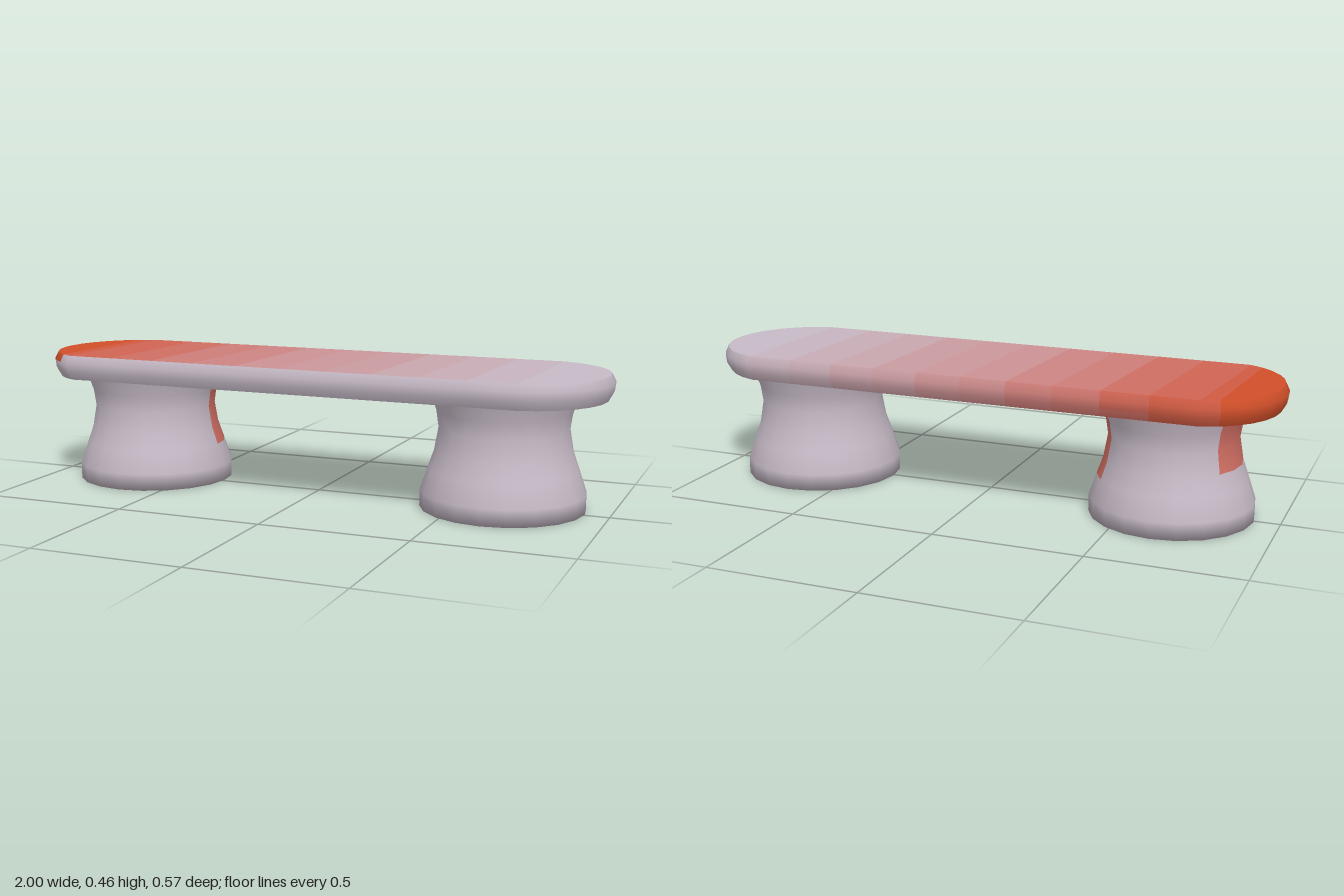
import * as THREE from 'three';

// Shades from pale lilac grey (0) to burnt orange (SHADES)
const SHADES = 16;
const shades = Array.from({ length: SHADES + 1 }, (_, i) =>
  new THREE.MeshStandardMaterial({
    color: new THREE.Color(0xc6bac6).lerp(new THREE.Color(0xd2502a), i / SHADES),
  }));
const tint = x => Math.round(SHADES * THREE.MathUtils.clamp((0.85 - x) / 1.75, 0, 1));

// Skin rows of [x, y, z] points; shade(column, row) picks each face's material
function skin(name, rows, closed, shade) {
  const n = rows[0].length, columns = closed ? n : n - 1;
  const index = [];
  const geometry = new THREE.BufferGeometry();
  for (let r = 0; r < rows.length - 1; r++) {
    for (let i = 0; i < columns; i++) {
      const j = (i + 1) % n;
      const a = r * n + i, b = r * n + j, c = b + n, d = a + n;
      geometry.addGroup(index.length, 6, shade(i, r));
      index.push(a, d, c, a, c, b);
    }
  }
  geometry.setAttribute('position', new THREE.Float32BufferAttribute(rows.flat(2), 3));
  geometry.setIndex(index);
  geometry.computeVertexNormals();
  const mesh = new THREE.Mesh(geometry, shades);
  mesh.name = name;
  return mesh;
}

// One long edge of the slab, from its -x tip to its +x tip
function slabEdge(side, startDeg, endDeg, radius, y) {
  const arc = 6, straight = 10, cx = 0.71;
  const at = (sign, deg) => {
    const a = THREE.MathUtils.degToRad(deg);
    return [sign * (cx + radius * Math.cos(a)), y, side * radius * Math.sin(a)];
  };
  const points = [];
  for (let k = 0; k <= arc; k++) points.push(at(-1, startDeg * k / arc));
  const from = at(-1, startDeg), to = at(1, endDeg);
  for (let k = 1; k < straight; k++) {
    points.push(from.map((v, i) => v + (to[i] - v) * k / straight));
  }
  for (let k = arc; k >= 0; k--) points.push(at(1, endDeg * k / arc));
  return points;
}

function createSlab() {
  const slab = new THREE.Group();
  slab.name = 'seat';
  const levels = [[0.27, 0.372], [0.286, 0.4], [0.29, 0.43], [0.277, 0.456]];
  const backs = levels.map(([r, y]) => slabEdge(-1, 75, 75, r, y));
  const fronts = levels.map(([r, y]) => slabEdge(1, 64, 80, r, y));
  const last = backs[0].length - 1;
  const top = levels.length - 1;

  // Rounded rim, tinted along the back and around the -x tip
  const rim = backs.map((b, l) => [...b, ...fronts[l].slice(1, last).reverse()]);
  slab.add(skin('seatRim', rim, true, (i, r) => {
    const x = rim[r][i][0];
    if (i < last) return tint(x);
    return r === top - 1 && x < -0.86 ? tint(x) : 0;
  }));

  // Flat faces
  slab.add(skin('seatTop', [backs[top], fronts[top]], false,
    i => tint((backs[top][i][0] + backs[top][i + 1][0]) / 2)));
  slab.add(skin('seatUnderside', [fronts[0], backs[0]], false, () => 0));
  return slab;
}

// Waisted round pedestal with a closed foot
function createPedestal(name, x, shade) {
  const profile = [[0, 0], [0.272, 0], [0.272, 0.056], [0.247, 0.13], [0.226, 0.19],
    [0.213, 0.265], [0.221, 0.32], [0.239, 0.374]];
  const sides = 20;
  const rows = profile.map(([r, y]) => Array.from({ length: sides }, (_, i) => {
    const a = i / sides * Math.PI * 2;
    return [-r * Math.cos(a), y, -r * Math.sin(a)];
  }));
  const mesh = skin(name, rows, true, shade);
  mesh.position.set(x, 0, -0.011);
  return mesh;
}

export function createModel() {
  const bench = new THREE.Group();
  bench.name = 'bench';
  bench.add(createSlab());
  bench.add(createPedestal('leftPedestal', 0.647, () => 0));
  // Orange patches on the outer and inner sides of the other pedestal
  bench.add(createPedestal('rightPedestal', -0.643, (i, r) => {
    const outer = (i >= 18 || i <= 1) && r >= 4;
    const inner = i >= 8 && i <= 9 && r >= 3;
    return outer || inner ? 13 : 0;
  }));
  return bench;
}
